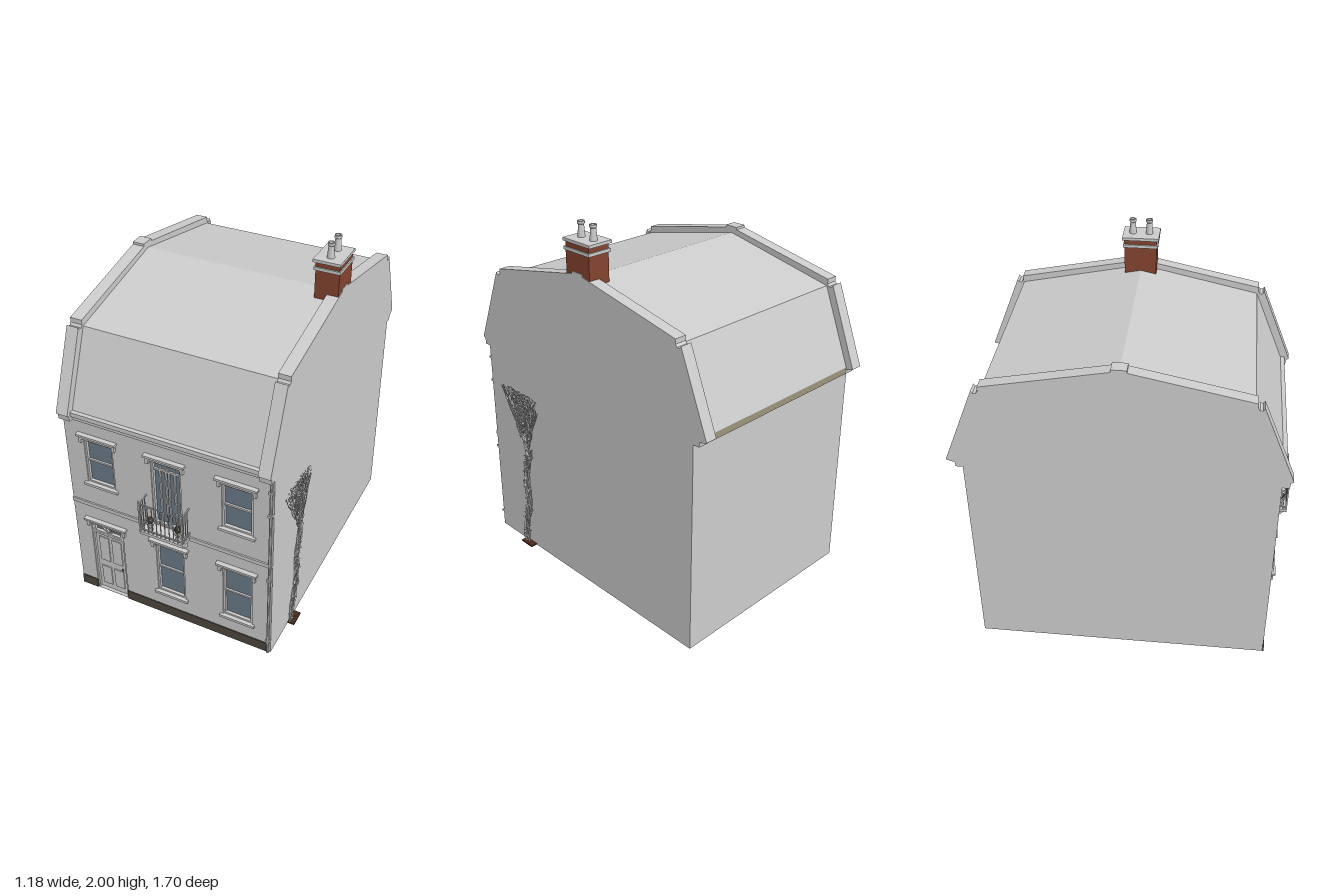
import * as THREE from 'three';
import { mergeGeometries } from 'three/addons/utils/BufferGeometryUtils.js';

const mat = (color, side = THREE.FrontSide) => new THREE.MeshStandardMaterial({ color, side, flatShading: true });
const grey = mat(0xcccccc), greyTwo = mat(0xcccccc, THREE.DoubleSide);
const glass = mat(0x6a7a88), brick = mat(0x84432f), plinthMat = mat(0x4e483f);
const boards = mat(0x4a2a1a), green = mat(0x8f9f86, THREE.DoubleSide), blue = mat(0x8f9baa, THREE.DoubleSide);
const gutterMat = mat(0x9c957c);
const X0 = -0.595, X1 = 0.55, Z = 0.77;

function add(parent, name, geo, material = grey) {
  const mesh = new THREE.Mesh(geo, material);
  mesh.name = name;
  parent.add(mesh);
  return mesh;
}
const boxGeo = (x0, x1, y0, y1, z0, z1) => new THREE.BoxGeometry(x1 - x0, y1 - y0, z1 - z0)
  .translate((x0 + x1) / 2, (y0 + y1) / 2, (z0 + z1) / 2);
const box = (parent, name, x0, x1, y0, y1, z0, z1, m) => add(parent, name, boxGeo(x0, x1, y0, y1, z0, z1), m);
const group = (parent, name) => {
  const g = new THREE.Group();
  g.name = name;
  parent.add(g);
  return g;
};
const rect = (x0, x1, y0, y1, Type = THREE.Path) => new Type(
  [[x0, y0], [x1, y0], [x1, y1], [x0, y1]].map(p => new THREE.Vector2(...p)));
// Extrudes a profile of [z, y] points between two x positions
function sideExtrude(points, x0, x1) {
  const shape = new THREE.Shape(points.map(([z, y]) => new THREE.Vector2(-z, y)));
  return new THREE.ExtrudeGeometry(shape, { depth: x1 - x0, bevelEnabled: false }).rotateY(Math.PI / 2).translate(x0, 0, 0);
}

// Moulded hood with small end brackets above an opening
function hood(parent, c, y, half) {
  const g = group(parent, 'hood');
  box(g, 'hoodTop', c - half, c + half, y + 0.03, y + 0.042, Z, 0.795);
  box(g, 'hoodMoulding', c - half + 0.01, c + half - 0.01, y + 0.012, y + 0.03, Z, 0.785);
  for (const s of [-1, 1]) {
    const x = c + s * (half - 0.017);
    box(g, 'hoodBracket', x - 0.008, x + 0.008, y - 0.012, y + 0.012, Z, 0.785);
  }
}

// Frame bars at the given fractions, with a pane behind
function glazing(parent, name, x0, x1, y0, y1, verticals, horizontals) {
  const g = group(parent, name), t = 0.01;
  box(g, 'pane', x0, x1, y0, y1, 0.742, 0.748, glass);
  const bars = [boxGeo(x0, x0 + t, y0, y1, 0.742, 0.764), boxGeo(x1 - t, x1, y0, y1, 0.742, 0.764),
    boxGeo(x0, x1, y0, y0 + t, 0.742, 0.764), boxGeo(x0, x1, y1 - t, y1, 0.742, 0.764)];
  for (const f of verticals) {
    const x = x0 + (x1 - x0) * f;
    bars.push(boxGeo(x - 0.004, x + 0.004, y0, y1, 0.742, 0.758));
  }
  for (const f of horizontals) {
    const y = y0 + (y1 - y0) * f;
    bars.push(boxGeo(x0, x1, y - 0.005, y + 0.005, 0.742, 0.758));
  }
  add(g, 'frame', mergeGeometries(bars));
  return g;
}

function facade(root) {
  const g = group(root, 'facade');
  const sashes = [[-0.405, 0.77, 1.04], [0.36, 0.77, 1.04], [-0.025, 0.16, 0.49], [0.36, 0.16, 0.49]];
  const wall = rect(X0, X1, 0, 1.17, THREE.Shape);
  for (const [c, y0, y1] of sashes) wall.holes.push(rect(c - 0.082, c + 0.082, y0, y1));
  wall.holes.push(rect(-0.107, 0.057, 0.64, 1.04), rect(-0.5, -0.305, 0.002, 0.49));
  add(g, 'frontWall', new THREE.ExtrudeGeometry(wall, { depth: 0.03, bevelEnabled: false }).translate(0, 0, Z - 0.03));
  for (const [c, y0, y1] of sashes) {
    glazing(g, 'sashWindow', c - 0.082, c + 0.082, y0, y1, [], [0.52]);
    box(g, 'windowSill', c - 0.098, c + 0.098, y0 - 0.015, y0, 0.75, 0.785);
    hood(g, c, y1, 0.112);
  }
  glazing(g, 'balconyDoors', -0.107, 0.057, 0.64, 1.04, [0.25, 0.45, 0.55, 0.75], [0.87]);
  hood(g, -0.025, 1.04, 0.112);

  // Entrance with panelled leaf and fanlight
  const d = group(g, 'frontDoor');
  box(d, 'doorLeaf', -0.49, -0.315, 0, 0.415, 0.74, 0.752);
  for (const x of [-0.47, -0.393]) {
    box(d, 'doorPanel', x, x + 0.058, 0.04, 0.17, 0.75, 0.757);
    box(d, 'doorPanel', x, x + 0.058, 0.215, 0.385, 0.75, 0.757);
  }
  for (const x of [-0.5, -0.315]) box(d, 'doorJamb', x, x + 0.01, 0, 0.49, 0.74, 0.765);
  box(d, 'transom', -0.49, -0.315, 0.412, 0.425, 0.74, 0.765);
  glazing(d, 'fanlight', -0.49, -0.315, 0.425, 0.49, [], []);
  for (const a of [-1, -0.5, 0.5, 1]) {
    add(d, 'fanlightBar', new THREE.BoxGeometry(0.005, 0.055, 0.012).translate(0, 0.028, 0).rotateZ(a)
      .translate(-0.4025, 0.43, 0.752));
  }
  add(d, 'doorKnob', new THREE.SphereGeometry(0.006, 8, 6).translate(-0.335, 0.19, 0.76), plinthMat);
  hood(g, -0.4025, 0.48, 0.125);

  box(g, 'plinth', X0, -0.5, 0, 0.06, 0.765, 0.775, plinthMat);
  box(g, 'plinth', -0.305, 0.525, 0, 0.06, 0.765, 0.775, plinthMat);
  box(g, 'stringCourse', X0, X1, 0.607, 0.63, Z, 0.778);
  box(g, 'cornice', X0, X1, 1.16, 1.185, 0.75, 0.785);
  box(g, 'eavesLedge', -0.53, 0.487, 1.185, 1.21, 0.75, 0.797);
  add(g, 'drainpipe', new THREE.CylinderGeometry(0.008, 0.008, 1.16, 8).translate(0.536, 0.58, 0.776));
  for (const y of [0.08, 0.52, 0.94, 1.08]) box(g, 'pipeClip', 0.524, 0.548, y, y + 0.012, Z, 0.787);
}

function balcony(root) {
  const g = group(root, 'balcony'), a = -0.145, b = 0.1, front = 0.85;
  box(g, 'balconySlab', a, b, 0.617, 0.635, Z, front);
  for (const x of [-0.137, 0.06]) {
    add(g, 'balconyBracket', sideExtrude([[Z, 0.555], [0.79, 0.56], [0.84, 0.617], [Z, 0.617]], x, x + 0.022));
  }
  const bars = [];
  for (const y of [0.65, 0.81]) {
    bars.push(boxGeo(a, b, y, y + 0.006, front - 0.006, front));
    for (const x of [a, b - 0.006]) bars.push(boxGeo(x, x + 0.006, y, y + 0.006, Z, front));
  }
  const bar = (x, z, r, top) => bars.push(boxGeo(x - r, x + r, 0.635, top, z - r, z + r));
  for (let i = 0; i <= 10; i++) bar(a + 0.003 + (b - a - 0.006) * i / 10, front - 0.003, 0.002, 0.812);
  for (const x of [a + 0.003, b - 0.003]) {
    bar(x, front - 0.003, 0.004, 0.83);
    for (const z of [0.79, 0.81, 0.83]) bar(x, z, 0.002, 0.812);
  }
  add(g, 'railings', mergeGeometries(bars));
  const urn = [[0, 0], [0.014, 0], [0.008, 0.012], [0.018, 0.03], [0.021, 0.045], [0.017, 0.045], [0, 0.04]];
  for (const x of [-0.1, 0.055]) {
    add(g, 'flowerUrn', new THREE.LatheGeometry(urn.map(p => new THREE.Vector2(...p)), 8).translate(x, 0.635, 0.815), greyTwo);
    add(g, 'urnPlant', new THREE.IcosahedronGeometry(0.019, 0).scale(1, 1.3, 1).translate(x, 0.695, 0.815), plinthMat);
  }
}

function shell(root) {
  // Outline of the gable above the eaves, front to back
  const upper = [[0.77, 1.16], [0.805, 1.16], [0.808, 1.19], [0.822, 1.2], [0.655, 1.61], [0.647, 1.598], [0.632, 1.598],
    [0.623, 1.61], [0.623, 1.635], [0.035, 1.757], [0.035, 1.77], [-0.04, 1.77], [-0.04, 1.757], [-0.655, 1.635],
    [-0.655, 1.61], [-0.664, 1.598], [-0.679, 1.598], [-0.688, 1.61], [-0.85, 1.2], [-0.808, 1.185], [-0.805, 1.16], [-0.77, 1.16]];
  for (const [x, x0, x1] of [[X0, X0, -0.53], [X1, 0.487, X1]]) {
    const g = group(root, 'gable');
    add(g, 'gableParapet', sideExtrude(upper, x0, x1));
    add(g, 'sideWall', new THREE.PlaneGeometry(2 * Z, 1.16).rotateY(Math.sign(x) * Math.PI / 2).translate(x, 0.58, 0), greyTwo);
  }
  add(root, 'backWall', new THREE.PlaneGeometry(X1 - X0, 1.18).rotateY(Math.PI).translate((X0 + X1) / 2, 0.59, -Z), greyTwo);

  // Two-pitch roof as a thin sheet
  const top = [[0.775, 1.21], [0.615, 1.6], [-0.005, 1.735], [-0.65, 1.6], [-0.81, 1.2]];
  const under = top.map(([z, y]) => [z * 0.985, y - 0.015]).reverse();
  add(root, 'roof', sideExtrude([...top, ...under], -0.53, 0.487));
  box(root, 'backGutter', -0.53, 0.487, 1.165, 1.2, -0.81, -0.765, gutterMat);
}

function chimney(root) {
  const g = group(root, 'chimney'), c = -0.007;
  box(g, 'stack', 0.425, 0.546, 1.7, 1.91, c - 0.083, c + 0.083, brick);
  box(g, 'stackBand', 0.417, 0.552, 1.866, 1.882, c - 0.09, c + 0.09);
  box(g, 'stackCap', 0.413, 0.552, 1.908, 1.923, c - 0.095, c + 0.095);
  const pot = [[0.019, 0], [0.014, 0.06], [0.018, 0.064], [0.018, 0.077], [0.012, 0.077], [0.011, 0.005], [0, 0.005]];
  for (const z of [-0.052, 0.034]) {
    add(g, 'chimneyPot', new THREE.LatheGeometry(pot.map(p => new THREE.Vector2(...p)), 12).translate(0.482, 1.923, z), greyTwo);
  }
}

// Shallow rooms seen through the windows and from underneath
function rooms(root) {
  const g = group(root, 'rooms');
  box(g, 'lowerFloor', -0.24, 0.53, 0.09, 0.1, 0.65, 0.74, boards);
  box(g, 'upperFloor', -0.58, 0.53, 0.625, 0.635, 0.65, 0.74, boards);
  box(g, 'lowerBackWall', -0.24, 0.15, 0.1, 0.6, 0.648, 0.652, green);
  box(g, 'lowerBackWall', 0.15, 0.53, 0.1, 0.6, 0.648, 0.652, blue);
  box(g, 'upperBackWall', -0.58, 0.53, 0.635, 1.12, 0.648, 0.652, green);
}

// Climbing plant: twisted stems, a fan of twigs and small leaves
function climber(root) {
  const g = group(root, 'climber');
  let seed = 7;
  const rnd = () => (seed = (seed * 16807) % 2147483647) / 2147483647;
  const sway = y => 0.525 - 0.06 * y / 0.62 + 0.012 * Math.sin(y * 17);
  const stems = [], leaves = [];
  const tube = (pts, n, r) => stems.push(new THREE.TubeGeometry(new THREE.CatmullRomCurve3(pts), n, r, 4));
  const leaf = (x, y, z, s) => leaves.push(new THREE.CircleGeometry(s, 4).scale(0.7, 1, 1).rotateZ(rnd() * 6)
    .rotateY(Math.PI / 2 + (rnd() - 0.5) * 1.6).rotateX(rnd() * 6).translate(x, y, z));
  for (let k = 0; k < 4; k++) {
    const pts = [];
    for (let i = 0; i <= 12; i++) {
      const y = 0.64 * i / 12, a = i * 1.1 + k * Math.PI / 2;
      pts.push(new THREE.Vector3(0.562 + 0.007 * Math.cos(a), y, sway(y) + 0.018 * Math.sin(a)));
    }
    tube(pts, 36, 0.005);
  }
  for (let k = 0; k < 22; k++) {
    const f = k / 21, end = 0.35 + 0.31 * f, high = 0.9 + 0.07 * rnd(), pts = [];
    for (let i = 0; i <= 5; i++) {
      const t = i / 5;
      pts.push(new THREE.Vector3(0.556 + 0.014 * rnd(), 0.6 + (high - 0.6) * t,
        0.47 + (end - 0.47) * Math.pow(t, 1.2) + (rnd() - 0.5) * 0.02));
    }
    tube(pts, 15, 0.0025);
  }
  for (let i = 0; i < 260; i++) {
    const y = 0.62 * rnd();
    leaf(0.557 + 0.018 * rnd(), y, sway(y) + (rnd() - 0.5) * 0.05, 0.008);
  }
  for (let i = 0; i < 700; i++) {
    const t = Math.sqrt(rnd()), w = 0.03 + 0.26 * t * (t > 0.9 ? 1.1 : 0.85);
    leaf(0.554 + 0.02 * rnd(), 0.62 + 0.35 * t, 0.47 + 0.035 * t + (rnd() + rnd() - 1) * w * 0.55, 0.008);
  }
  add(g, 'stems', mergeGeometries(stems));
  add(g, 'leaves', mergeGeometries(leaves), greyTwo);
  box(g, 'soilBed', 0.55, 0.588, 0, 0.008, 0.46, 0.55, boards);
}

export function createModel() {
  const root = new THREE.Group();
  root.name = 'townHouse';
  for (const part of [shell, facade, balcony, chimney, rooms, climber]) part(root);
  return root;
}
